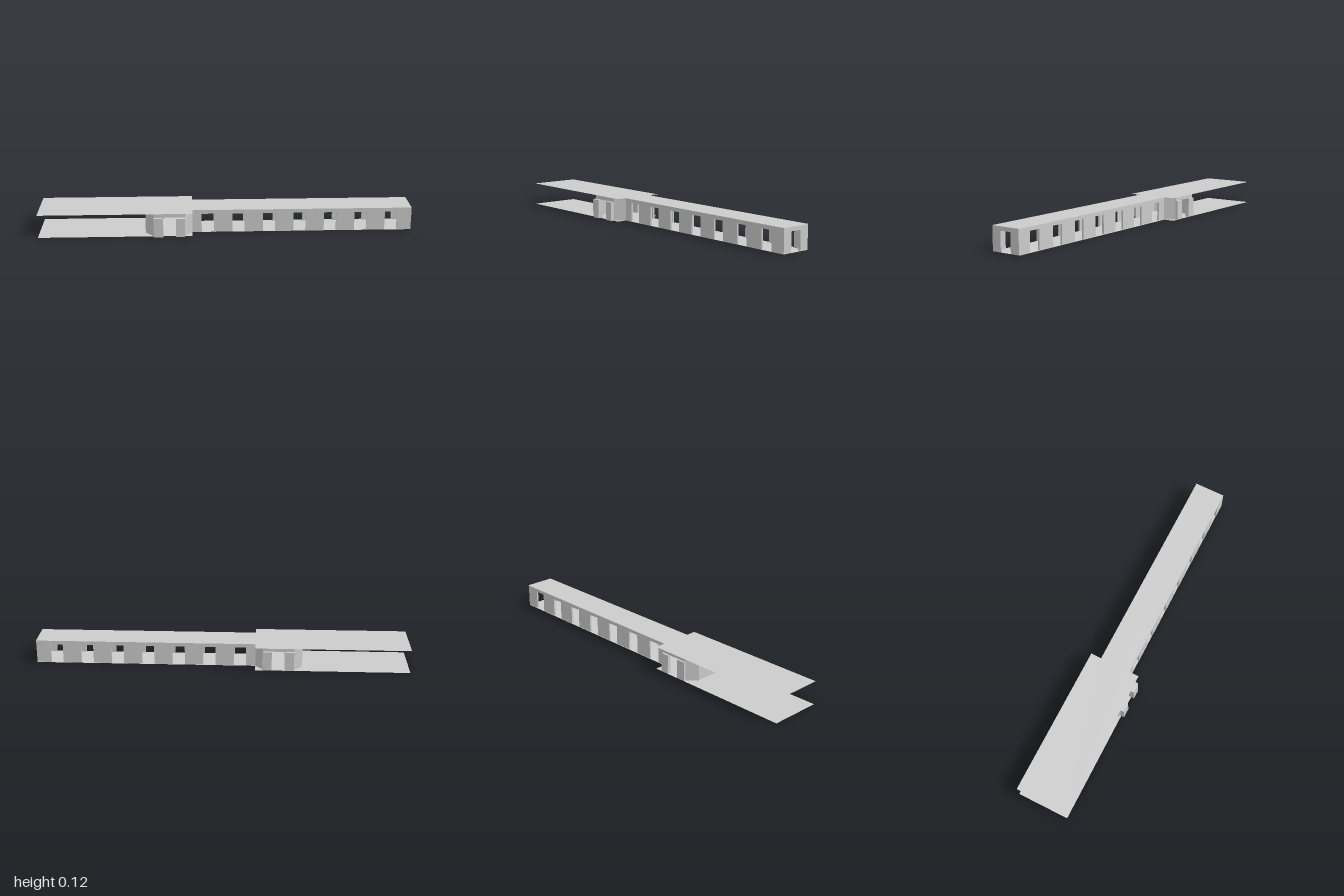
import * as THREE from 'three';

const H = 0.125;        // ceiling height
const DOOR = 0.104;     // opening height
const T = 0.01;         // wall thickness
const FRONT = 0.078, BACK = -0.087;         // corridor outer faces
const BAY_FRONT = 0.13, BAY_BACK = -0.139;  // bay outer faces

export function createModel() {
  const group = new THREE.Group();
  const material = new THREE.MeshStandardMaterial({ color: 0xcccccc });
  const thin = new THREE.MeshStandardMaterial({ color: 0xcccccc, side: THREE.DoubleSide });

  const add = (name, geometry, mat = material) => {
    const mesh = new THREE.Mesh(geometry, mat);
    mesh.name = name;
    group.add(mesh);
    return mesh;
  };

  // Box given by its extents
  const box = (name, x0, x1, y0, y1, z0, z1) =>
    add(name, new THREE.BoxGeometry(x1 - x0, y1 - y0, z1 - z0))
      .position.set((x0 + x1) / 2, (y0 + y1) / 2, (z0 + z1) / 2);

  // Floor and ceiling sheets: a wide part and a narrow corridor part
  const outline = new THREE.Shape([
    [-1, -0.133], [-0.18, -0.133], [-0.18, -0.077], [1, -0.077],
    [1, 0.091], [-0.18, 0.091], [-0.18, 0.15], [-1, 0.15],
  ].map(([x, y]) => new THREE.Vector2(x, y)));
  for (const [name, y] of [['floor', 0], ['ceiling', H]]) {
    add(name, new THREE.ShapeGeometry(outline).rotateX(-Math.PI / 2).translate(0, y, 0), thin);
  }

  // Corridor walls: evenly spaced piers under a continuous header
  const pitch = 0.1645, gap = 0.066, firstGap = -0.13, gaps = 7;
  for (const [side, z0, z1] of [['front', FRONT - T, FRONT], ['back', BACK, BACK + T]]) {
    let start = -0.18;
    for (let i = 0; i <= gaps; i++) {
      const end = i < gaps ? firstGap + i * pitch : 1;
      box(side + 'Pier', start, end, 0, DOOR, z0, z1);
      start = end + gap;
    }
    box(side + 'Header', -0.18, 1, DOOR, H, z0, z1);
  }

  // End wall with a round-cornered doorway
  const endWall = new THREE.Shape();
  const zc = -0.0045, half = 0.0315, r = 0.004;
  endWall.moveTo(BACK + T, 0);
  endWall.lineTo(zc - half, 0);
  endWall.lineTo(zc - half, DOOR - r);
  endWall.quadraticCurveTo(zc - half, DOOR, zc - half + r, DOOR);
  endWall.lineTo(zc + half - r, DOOR);
  endWall.quadraticCurveTo(zc + half, DOOR, zc + half, DOOR - r);
  endWall.lineTo(zc + half, 0);
  endWall.lineTo(FRONT - T, 0);
  endWall.lineTo(FRONT - T, H);
  endWall.lineTo(BACK + T, H);
  const endGeometry = new THREE.ExtrudeGeometry(endWall, { depth: T, bevelEnabled: false, curveSegments: 4 });
  endGeometry.rotateY(-Math.PI / 2).translate(1, 0, 0); // shape x becomes z
  add('endWall', endGeometry);

  // Bay walls: projecting jambs beside an opening, header, slanted corners
  const slant = (name, xa, za, xb, zb) => {
    const length = Math.hypot(xb - xa, zb - za);
    const mesh = add(name, new THREE.BoxGeometry(length, H, 0.004));
    mesh.position.set((xa + xb) / 2, H / 2, (za + zb) / 2);
    mesh.rotation.y = -Math.atan2(zb - za, xb - xa);
  };
  for (const [side, wall, corridor, outer, s] of [
    ['front', BAY_FRONT, FRONT, 0.15, 1], ['back', BAY_BACK, BACK, -0.15, -1]]) {
    const inner = wall - s * T;
    const z0 = Math.min(inner, outer), z1 = Math.max(inner, outer);
    box(side + 'BayJamb', -0.385, -0.335, 0, DOOR, z0, z1);
    box(side + 'BayJamb', -0.267, -0.22, 0, DOOR, z0, z1);
    box(side + 'BayHeader', -0.385, -0.22, DOOR, H, Math.min(inner, wall), Math.max(inner, wall));
    const c = corridor - s * 0.002, w = wall - s * 0.002;
    slant(side + 'BayCornerNear', -0.181, c, -0.221, w);
    slant(side + 'BayCornerFar', -0.384, w, -0.429, c);
  }

  // Closed wall at the far end of the bay
  box('bayEndWall', -0.43, -0.42, 0, H, BACK, FRONT);

  return group;
}
